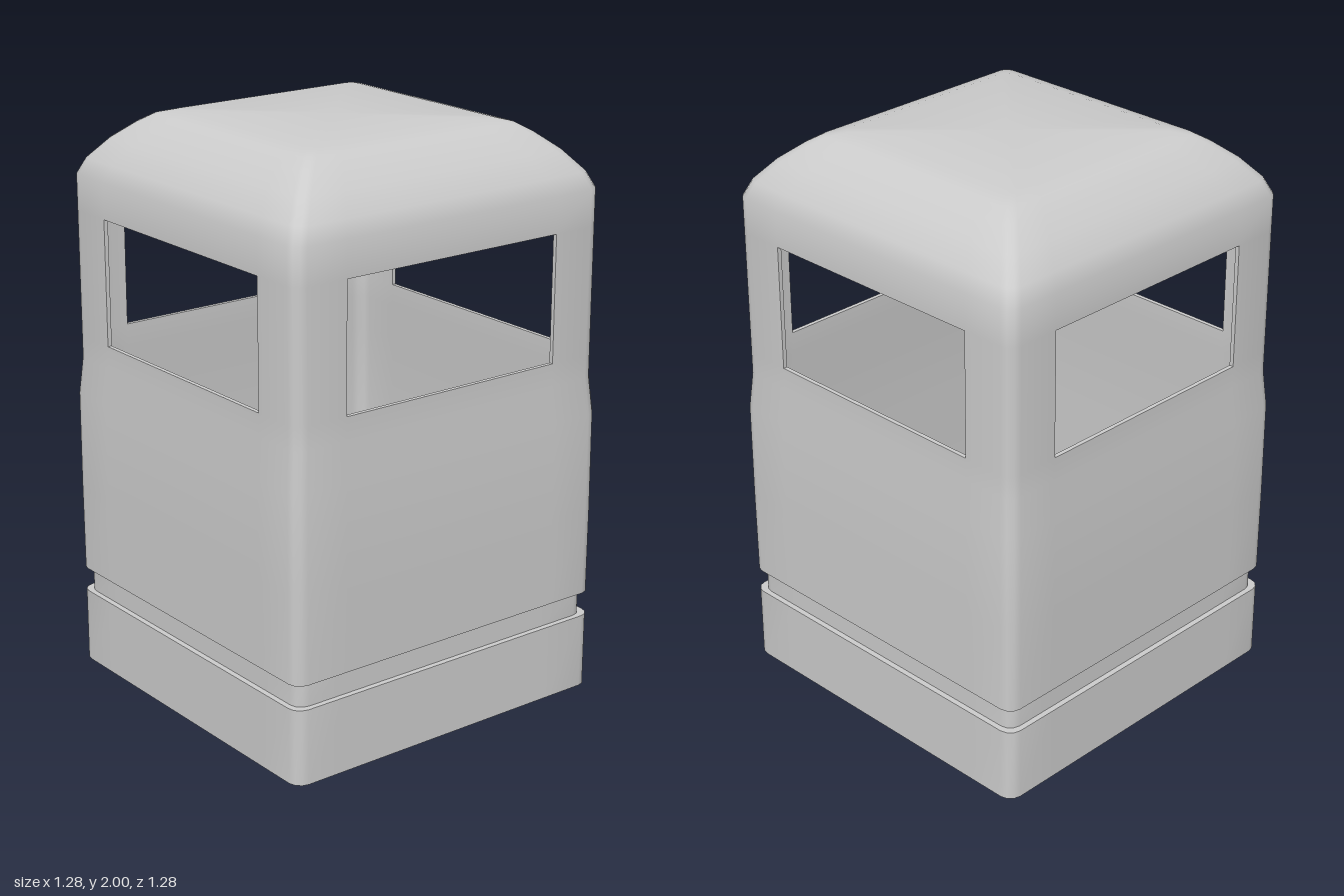
import * as THREE from 'three';
import { toCreasedNormals } from 'three/addons/utils/BufferGeometryUtils.js';

const WALL = 0.625, THICK = 0.015, WIN = 0.43, SILL = 1.21, HEAD = 1.65;
const ARC = 3, PER_SIDE = ARC + 3;

// [height, half width] going up the outer shell
const BODY = [
  [0.35, 0.637], [0.66, 0.638], [1.0, 0.637], [1.13, WALL], [SILL, WALL], [HEAD, WALL], [1.775, WALL],
  [1.83, 0.6], [1.9, 0.54], [1.955, 0.475], [1.985, 0.43], [2.0, 0.375],
];

const material = new THREE.MeshStandardMaterial({ color: 0xcccccc });

// Rounded-square ring; the straight part of each side is split at the window edges
function ring([y, w], ref) {
  const r = 0.045 * w / ref, win = WIN * w / ref, pts = [];
  for (let k = 0; k < 4; k++) {
    const s = Math.round(Math.sin(k * Math.PI / 2)), c = Math.round(Math.cos(k * Math.PI / 2));
    const add = (t, n) => pts.push([t * c + n * s, y, n * c - t * s]);
    add(-win, w);
    add(win, w);
    for (let i = 0; i <= ARC; i++) {
      const a = i / ARC * Math.PI / 2;
      add(w - r + r * Math.sin(a), w - r + r * Math.cos(a));
    }
  }
  return pts;
}

function fromTriangles(pos) {
  const g = new THREE.BufferGeometry();
  g.setAttribute('position', new THREE.Float32BufferAttribute(pos, 3));
  return toCreasedNormals(g, 0.75);
}

// Skin a stack of rings, with optional end caps, window gaps and inward-facing surface
function loft(levels, { ref = WALL, bottom = false, top = false, windows = false, inward = false } = {}) {
  const rings = levels.map((l) => ring(l, ref)), n = 4 * PER_SIDE, pos = [];
  const tri = (a, b, c) => pos.push(...a, ...(inward ? c : b), ...(inward ? b : c));
  for (let j = 0; j < rings.length - 1; j++) {
    for (let i = 0; i < n; i++) {
      if (windows && levels[j][0] === SILL && i % PER_SIDE === 0) continue;
      const k = (i + 1) % n, lo = rings[j], hi = rings[j + 1];
      tri(lo[i], lo[k], hi[k]);
      tri(lo[i], hi[k], hi[i]);
    }
  }
  const last = rings.length - 1;
  for (let i = 0; i < n; i++) {
    const k = (i + 1) % n;
    if (bottom) tri([0, levels[0][0], 0], rings[0][k], rings[0][i]);
    if (top) tri([0, levels[last][0], 0], rings[last][i], rings[last][k]);
  }
  return fromTriangles(pos);
}

// Thin edges lining one window opening
function windowFrame() {
  const c = [[-WIN, SILL], [WIN, SILL], [WIN, HEAD], [-WIN, HEAD]], pos = [];
  c.forEach((p, i) => {
    const q = c[(i + 1) % 4], out = WALL, inn = WALL - THICK;
    pos.push(...p, out, ...q, out, ...q, inn, ...p, out, ...q, inn, ...p, inn);
  });
  return fromTriangles(pos);
}

export function createModel() {
  const group = new THREE.Group();
  const add = (name, geometry) => {
    const mesh = new THREE.Mesh(geometry, material);
    mesh.name = name;
    group.add(mesh);
    return mesh;
  };

  // Plinth and the recessed groove above it
  add('base', loft([[0, 0.637], [0.265, 0.637], [0.265, 0.617]], { bottom: true }));
  add('recessedNeck', loft([[0.265, 0.617], [0.35, 0.617]]));

  // Outer shell with domed roof, starting with its underside lip
  add('outerShell', loft([[0.35, 0.6], ...BODY], { top: true, windows: true }));

  // Hollow inside: floor, walls and ceiling
  const inner = BODY.map(([y, w], i) => [i === 0 ? 0.36 : y > 1.8 ? y - THICK : y, w - THICK]);
  add('innerLiner', loft(inner, { ref: WALL - THICK, bottom: true, top: true, windows: true, inward: true }));

  // One opening on each of the four sides
  const frame = windowFrame();
  ['front', 'left', 'back', 'right'].forEach((side, k) => {
    add(side + 'WindowEdge', frame).rotation.y = k * Math.PI / 2;
  });

  return group;
}
